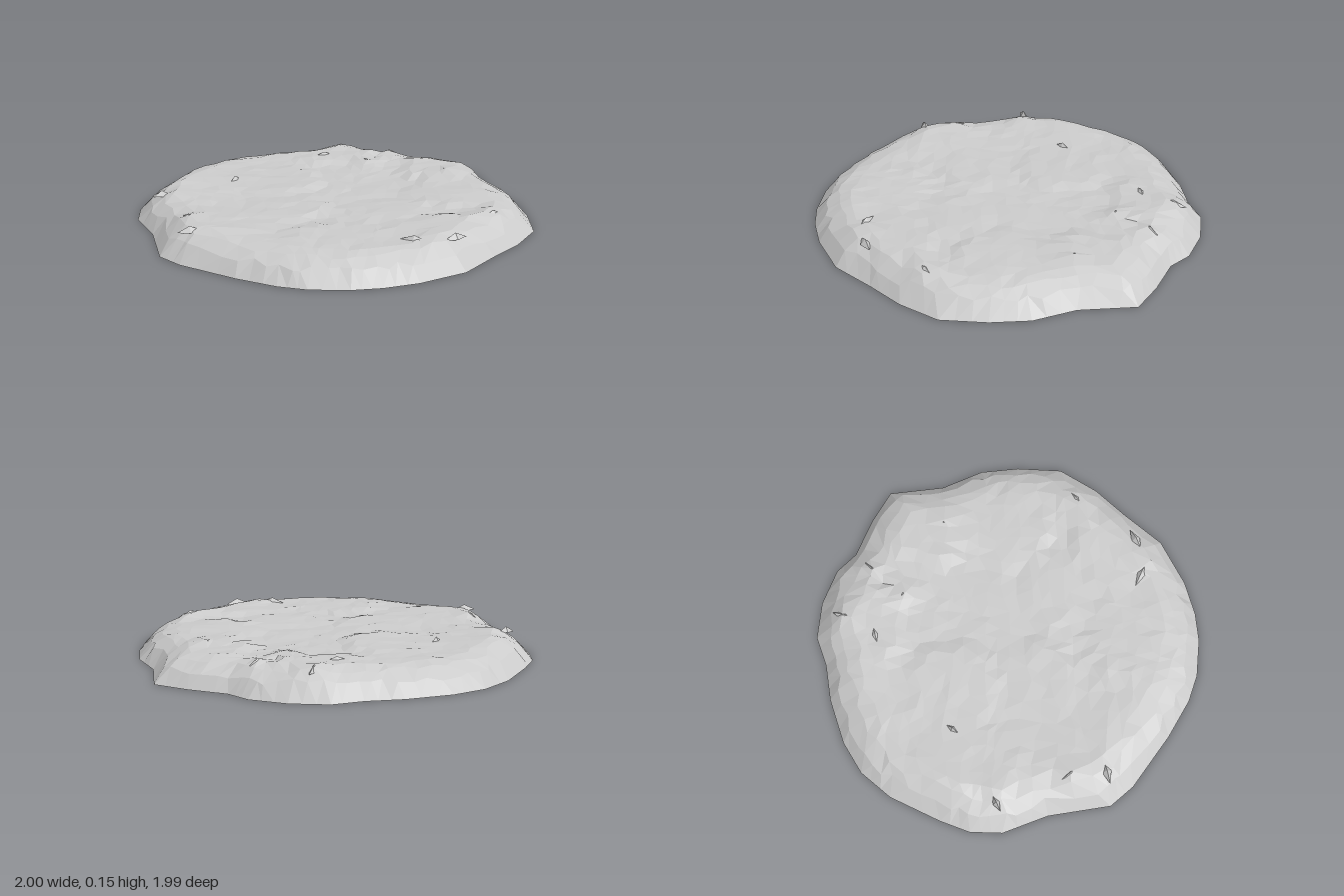
import * as THREE from 'three';

// Ground outline as [x, z], running from the left side round by the front
const OUTLINE = [
  [1, 0], [0.99, 0.2], [0.94, 0.43], [0.79, 0.6], [0.62, 0.73], [0.43, 0.89],
  [0.18, 0.97], [0, 0.99], [-0.15, 0.98], [-0.34, 0.93], [-0.47, 0.86], [-0.64, 0.72],
  [-0.87, 0.49], [-0.95, 0.36], [-0.95, 0.04], [-1, -0.2], [-0.97, -0.36], [-0.89, -0.5],
  [-0.73, -0.73], [-0.58, -0.86], [-0.41, -0.93], [-0.17, -0.97], [0.02, -0.97], [0.18, -1],
  [0.37, -0.95], [0.54, -0.85], [0.62, -0.74], [0.8, -0.63], [0.95, -0.51], [0.94, -0.22],
];

// Height against the fraction of the way from centre to outline
const PROFILE = [[0, 0.113], [0.45, 0.113], [0.72, 0.122], [0.82, 0.125], [0.89, 0.104], [0.95, 0.065], [1, 0]];

// Stone slabs lying on the plateau: x, z, radius x, radius z, rise, slope x, slope z
const SLABS = [
  [-0.24, -0.33, 0.24, 0.24, 0.012, 0.03, 0.01],
  [-0.27, 0.1, 0.24, 0.2, 0.010, 0.01, 0.03],
  [-0.6, 0.28, 0.26, 0.18, 0.010, -0.02, 0.02],
  [-0.62, -0.3, 0.2, 0.28, 0.008, -0.02, -0.02],
  [0.2, 0.26, 0.22, 0.17, 0.010, 0.02, 0.02],
  [0.38, 0.57, 0.25, 0.16, 0.012, 0.02, -0.03],
  [-0.12, 0.55, 0.26, 0.17, 0.008, -0.01, -0.03],
  [0.58, 0.1, 0.2, 0.22, 0.012, -0.03, 0.01],
  [0.62, -0.3, 0.16, 0.22, 0.012, -0.03, 0.02],
  [0.15, -0.7, 0.24, 0.15, 0.012, 0.03, 0.03],
];

// Small broken knobs: x, z, radius, rise
const KNOBS = [
  [0.02, -0.66, 0.1, 0.02], [0.24, -0.83, 0.1, 0.025], [0.31, -0.51, 0.09, 0.025],
  [0.48, -0.65, 0.08, 0.016], [0.68, -0.24, 0.1, 0.02], [-0.79, 0.22, 0.11, 0.022],
  [-0.8, -0.2, 0.08, 0.018], [0.3, 0.75, 0.1, 0.022], [0.7, 0.46, 0.11, 0.022],
  [-0.46, -0.37, 0.07, 0.015], [0.42, 0.1, 0.08, 0.018],
];

// Thin splinters along the broken edges: x, z, length, turn
const SHARDS = [
  [0.1, -0.69, 0.1, 0.1], [0.23, -0.83, 0.09, 1.1], [0.3, -0.52, 0.07, -0.7],
  [0.47, -0.66, 0.07, 0.6], [0.67, -0.25, 0.07, 1.3], [-0.78, 0.18, 0.08, -1.1],
  [-0.8, 0.36, 0.08, 0.1], [-0.87, -0.21, 0.06, 0.3], [0.22, 0.73, 0.1, -0.6],
  [0.42, 0.74, 0.08, 0.3], [0.7, 0.47, 0.09, 0.5], [-0.46, -0.37, 0.06, 0.8],
];

function seeded(seed) {
  return () => {
    seed = (seed * 16807) % 2147483647;
    return seed / 2147483647 - 0.5;
  };
}

function profileHeight(t) {
  let i = 1;
  while (i < PROFILE.length - 1 && PROFILE[i][0] < t) i++;
  const [t0, y0] = PROFILE[i - 1];
  const [t1, y1] = PROFILE[i];
  return y0 + ((y1 - y0) * (t - t0)) / (t1 - t0);
}

function surfaceHeight(x, z, t) {
  let lift = 0;
  for (const [cx, cz, rx, rz, rise, sx, sz] of SLABS) {
    const d = Math.hypot((x - cx) / rx, (z - cz) / rz);
    const edge = 1 - THREE.MathUtils.smoothstep(d, 0.88, 1.08);
    lift = Math.max(lift, edge * (rise + sx * (x - cx) + sz * (z - cz)));
  }
  for (const [cx, cz, r, rise] of KNOBS) {
    lift = Math.max(lift, rise * Math.max(0, 1.2 - Math.hypot(x - cx, z - cz) / r));
  }
  return profileHeight(t) + lift * THREE.MathUtils.clamp((1 - t) / 0.12, 0, 1);
}

// Point on the outline at a fraction of the way round
function outlineAt(f) {
  const s = f * OUTLINE.length;
  const i = Math.floor(s) % OUTLINE.length;
  const [a, b] = [OUTLINE[i], OUTLINE[(i + 1) % OUTLINE.length]];
  const u = s - Math.floor(s);
  return [a[0] + (b[0] - a[0]) * u, a[1] + (b[1] - a[1]) * u];
}

// Open shell: ring k carries 6k points, which keeps the facets even in size
function rockShell(rings) {
  const rand = seeded(4711);
  const positions = [0, surfaceHeight(0, 0, 0), 0];
  const index = [];
  const id = (k, j) => (k === 0 ? 0 : 1 + 3 * k * (k - 1) + (j % (6 * k)));
  for (let k = 1; k <= rings; k++) {
    for (let j = 0; j < 6 * k; j++) {
      const rim = k === rings;
      const t = rim ? 1 : (k + rand() * 0.6) / rings;
      const [ox, oz] = outlineAt((j + (rim ? 0 : rand() * 0.6)) / (6 * k) % 1 + (j === 0 && !rim ? 1 : 0));
      const x = ox * t;
      const z = oz * t;
      const y = rim ? 0 : surfaceHeight(x, z, t) + rand() * 0.006;
      positions.push(x, y, z);
    }
    for (let s = 0; s < 6; s++) {
      for (let i = 0; i < k; i++) {
        const a = id(k, s * k + i);
        const b = id(k, s * k + i + 1);
        const c = id(k - 1, s * (k - 1) + i);
        index.push(a, c, b);
        if (i < k - 1) index.push(c, id(k - 1, s * (k - 1) + i + 1), b);
      }
    }
  }
  const geometry = new THREE.BufferGeometry();
  geometry.setAttribute('position', new THREE.Float32BufferAttribute(positions, 3));
  geometry.setIndex(index);
  geometry.computeVertexNormals();
  return geometry;
}

export function createModel() {
  const group = new THREE.Group();
  group.name = 'rockMound';
  const stone = new THREE.MeshStandardMaterial({ color: 0xcccccc, flatShading: true, side: THREE.DoubleSide });

  const shell = new THREE.Mesh(rockShell(15), stone);
  shell.name = 'rockShell';
  group.add(shell);

  // Splinters sit partly sunk into the surface
  const splinter = new THREE.ConeGeometry(1, 1, 4, 1, true);
  const shards = new THREE.Group();
  shards.name = 'shards';
  SHARDS.forEach(([x, z, length, turn]) => {
    const shard = new THREE.Mesh(splinter, stone);
    shard.name = 'shard';
    shard.scale.set(length * 0.8, 0.03, length * 0.3);
    shard.rotation.y = turn;
    shard.position.set(x, 0.132, z);
    shards.add(shard);
  });
  group.add(shards);

  return group;
}
